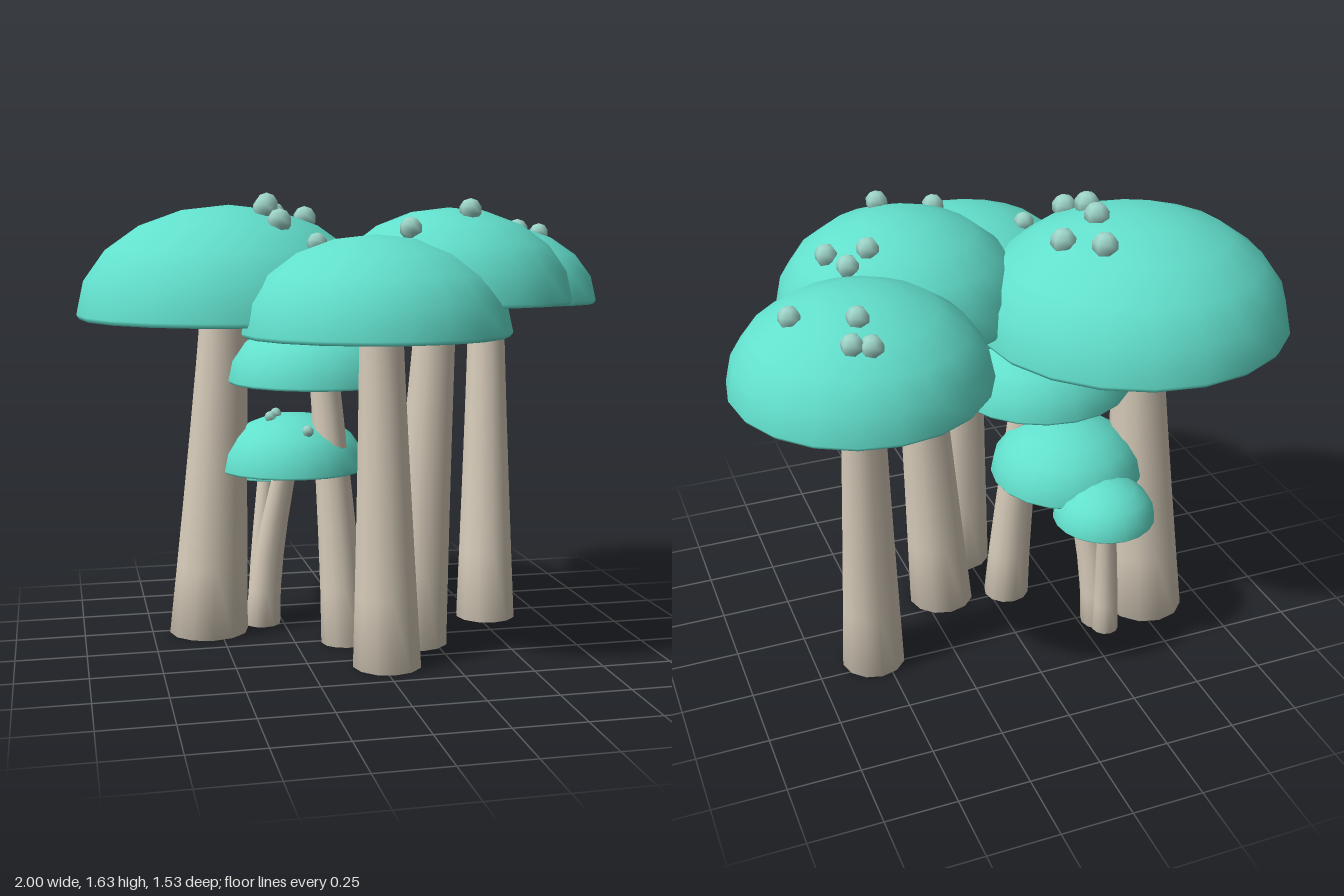
import * as THREE from 'three';
import { mergeVertices } from 'three/addons/utils/BufferGeometryUtils.js';

const material = (name, color) => {
  const m = new THREE.MeshStandardMaterial({ color });
  m.name = name;
  return m;
};

// Weld the lathe seam and poles so the shading runs smoothly around every edge
function weld(geometry) {
  geometry.deleteAttribute('uv');
  geometry.deleteAttribute('normal');
  const welded = mergeVertices(geometry, 1e-4);
  welded.computeVertexNormals();
  return welded;
}

// Domed cap with a curled rim and a slightly recessed underside
function capGeometry(radius, height) {
  const lip = 0.03 * radius;
  const profile = [
    new THREE.Vector2(0, 0.03 * radius),
    new THREE.Vector2(0.93 * radius, 0.07 * radius),
    new THREE.Vector2(0.98 * radius, 0),
  ];
  for (let i = 0; i <= 5; i++) {
    const a = (i / 5) * Math.PI / 2;
    profile.push(new THREE.Vector2(i === 5 ? 0 : radius * Math.cos(a), lip + (height - lip) * Math.sin(a)));
  }
  return weld(new THREE.LatheGeometry(profile, 20));
}

// Tapered stem whose rings slide from the foot towards the head
function stemGeometry(foot, head, footRadius, headRadius, height, bend) {
  const profile = [new THREE.Vector2(0, 0)];
  const rings = 5;
  for (let i = 0; i <= rings; i++) {
    const t = i / rings;
    const r = headRadius + (footRadius - headRadius) * Math.pow(1 - t, 1.2);
    profile.push(new THREE.Vector2(r, t * height));
  }
  const geometry = new THREE.LatheGeometry(profile, 12);
  const p = geometry.attributes.position;
  for (let i = 0; i < p.count; i++) {
    const t = Math.pow(p.getY(i) / height, bend);
    p.setX(i, p.getX(i) + foot[0] + (head[0] - foot[0]) * t);
    p.setZ(i, p.getZ(i) + foot[1] + (head[1] - foot[1]) * t);
  }
  return weld(geometry);
}

// Positions are [x, z]; cap is [x, rim height, z]
const mushrooms = [
  { name: 'largeLeftMushroom', cap: [-0.45, 1.195, -0.185], radius: 0.55, height: 0.405, tilt: 0,
    foot: [-0.54, -0.23], head: [-0.465, -0.19], footRadius: 0.147, headRadius: 0.085, bend: 1,
    spotRadius: 0.045,
    spots: [[-0.26, -0.35], [-0.165, -0.23], [-0.315, -0.165], [-0.345, -0.02], [-0.31, 0.09]] },
  { name: 'middleRightMushroom', cap: [0.29, 1.25, 0.115], radius: 0.435, height: 0.34, tilt: -0.025,
    foot: [0.18, 0.08], head: [0.255, 0.1], footRadius: 0.122, headRadius: 0.072, bend: 1,
    spotRadius: 0.04,
    spots: [[0.095, 0.33], [0.32, 0.27], [0.45, -0.05], [0.525, -0.07], [0.57, 0.03]] },
  { name: 'frontMushroom', cap: [-0.015, 1.16, 0.3], radius: 0.46, height: 0.34, tilt: -0.01,
    foot: [0.02, 0.32], head: [0, 0.3], footRadius: 0.122, headRadius: 0.075, bend: 1,
    spotRadius: 0.037, spots: [[-0.195, 0.18]] },
  { name: 'backRightMushroom', cap: [0.572, 1.22, -0.34], radius: 0.425, height: 0.312, tilt: -0.03,
    foot: [0.54, -0.2], head: [0.565, -0.315], footRadius: 0.115, headRadius: 0.068, bend: 1,
    spotRadius: 0.038,
    spots: [[0.605, -0.6], [0.66, -0.58], [0.615, -0.49], [0.795, -0.37]] },
  { name: 'mediumInnerMushroom', cap: [-0.15, 0.963, -0.09], radius: 0.322, height: 0.235, tilt: 0,
    foot: [-0.07, 0.02], head: [-0.13, -0.06], footRadius: 0.086, headRadius: 0.054, bend: 1.2,
    spotRadius: 0, spots: [] },
  { name: 'smallMushroom', cap: [-0.225, 0.63, -0.17], radius: 0.273, height: 0.21, tilt: -0.01,
    foot: [-0.328, -0.28], head: [-0.235, -0.18], footRadius: 0.068, headRadius: 0.042, bend: 1.5,
    spotRadius: 0.022, spots: [[-0.2, 0.01], [-0.315, -0.125], [-0.29, -0.155]] },
  { name: 'smallestMushroom', cap: [-0.265, 0.567, -0.415], radius: 0.18, height: 0.147, tilt: 0,
    foot: [-0.33, -0.335], head: [-0.29, -0.385], footRadius: 0.05, headRadius: 0.031, bend: 1.7,
    spotRadius: 0, spots: [] },
];

export function createModel() {
  const model = new THREE.Group();
  model.name = 'mushroomCluster';
  const capTeal = material('capTeal', 0x62dfcc);
  const stemBeige = material('stemBeige', 0xd6cbb9);
  const spotPale = material('spotPale', 0x9dd4c8);

  for (const m of mushrooms) {
    const group = new THREE.Group();
    group.name = m.name;
    const [cx, cy, cz] = m.cap;

    const cap = new THREE.Mesh(capGeometry(m.radius, m.height), capTeal);
    cap.name = 'cap';
    cap.position.set(cx, cy, cz);
    cap.rotation.x = m.tilt;
    group.add(cap);

    const stem = new THREE.Mesh(
      stemGeometry(m.foot, m.head, m.footRadius, m.headRadius, cy + m.height * 0.25, m.bend), stemBeige);
    stem.name = 'stem';
    stem.position.y = 0.01;
    group.add(stem);

    // Spots sit on the dome surface
    for (const [x, z] of m.spots) {
      const d = Math.hypot(x - cx, z - cz) / m.radius;
      const y = cy + m.height * Math.sqrt(Math.max(0, 1 - d * d)) - (z - cz) * Math.sin(m.tilt);
      const spot = new THREE.Mesh(new THREE.SphereGeometry(m.spotRadius, 6, 5), spotPale);
      spot.name = 'spot';
      spot.position.set(x, y + m.spotRadius * 0.25, z);
      spot.rotation.y = Math.PI / 6;
      group.add(spot);
    }
    model.add(group);
  }
  return model;
}
